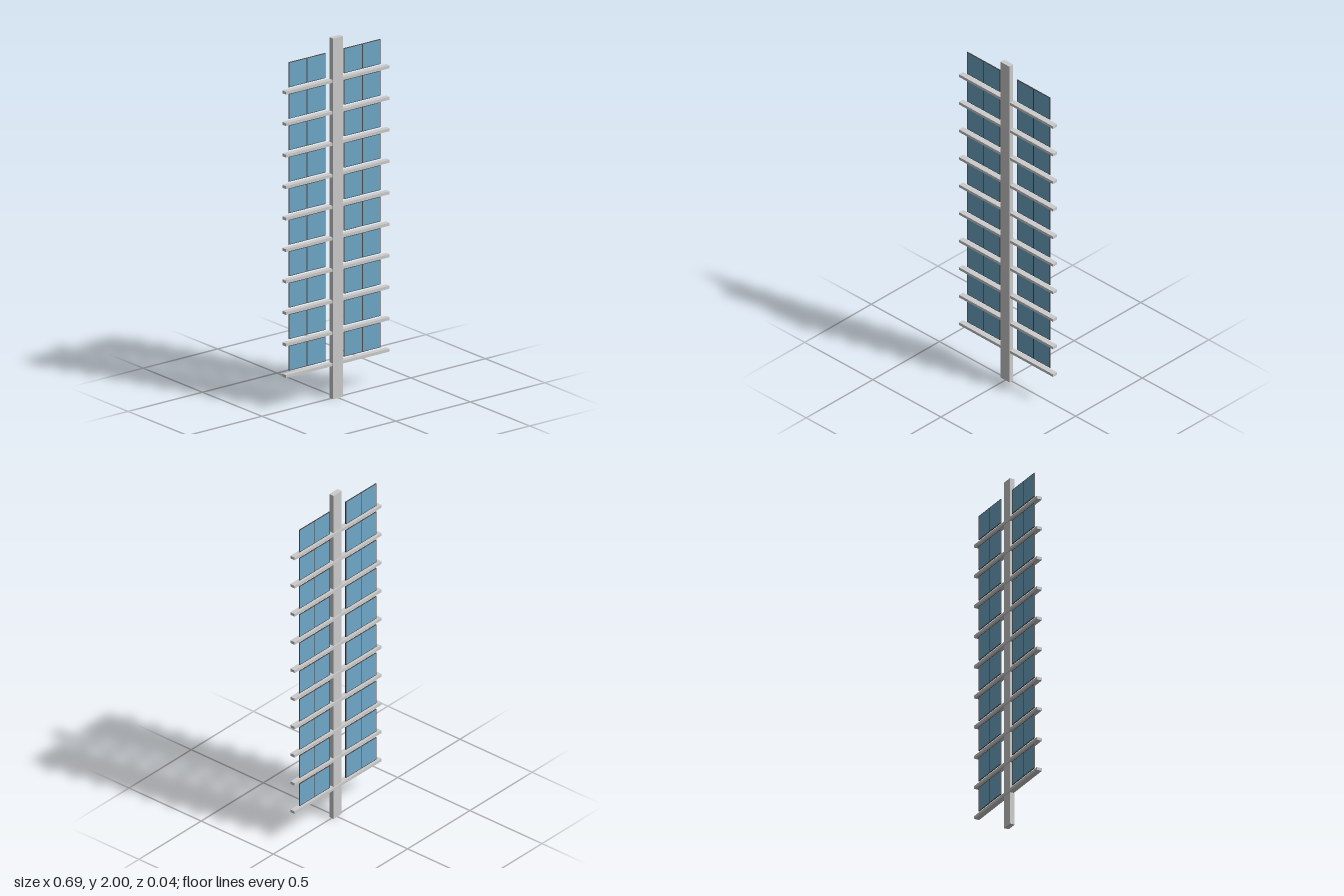
import * as THREE from 'three';

export function createModel() {
  const grey = new THREE.MeshStandardMaterial({ color: 0xcccccc });
  const dark = new THREE.MeshStandardMaterial({ color: 0x4a4644 });
  const blue = new THREE.MeshStandardMaterial({ color: 0x6fa8c8 });

  const model = new THREE.Group();
  model.name = 'glazedMullion';

  const box = (parent, name, material, w, h, d, x, y, z) => {
    const mesh = new THREE.Mesh(new THREE.BoxGeometry(w, h, d), material);
    mesh.name = name;
    mesh.position.set(x, y, z);
    parent.add(mesh);
  };

  // Upright post, standing slightly forward of the crossbars
  box(model, 'post', grey, 0.066, 2, 0.029, -0.003, 1, 0.0025);

  // Framed window: thin dark border, centre bar and two glass panes
  const W = 0.244, H = 0.138, D = 0.005, BORDER = 0.003, BAR = 0.005;
  const paneW = (W - 2 * BORDER - BAR) / 2;
  const makeWindow = () => {
    const win = new THREE.Group();
    for (const s of [-1, 1]) {
      box(win, 'frameSide', dark, BORDER, H, D, s * (W - BORDER) / 2, 0, 0);
      box(win, 'frameRail', dark, W - 2 * BORDER, BORDER, D, 0, s * (H - BORDER) / 2, 0);
      box(win, 'glassPane', blue, paneW, H - 2 * BORDER, D - 0.001, s * (paneW + BAR) / 2, 0, 0);
    }
    box(win, 'frameBar', dark, BAR, H - 2 * BORDER, D, 0, 0, 0);
    return win;
  };

  // Ten levels, each a crossbar with a window above it on both sides
  const arms = new THREE.Group();
  arms.name = 'levels';
  for (let i = 0; i < 10; i++) {
    const y = 0.19 + i * 0.1746;
    box(arms, 'crossbar', grey, 0.694, 0.016, 0.03, 0, y, -0.0035);
    for (const s of [-1, 1]) {
      const win = makeWindow();
      win.name = s < 0 ? 'rightWindow' : 'leftWindow';
      win.position.set(s * 0.185 - 0.003, y + 0.088, -0.0125);
      arms.add(win);
    }
  }
  arms.rotation.y = -0.006; // the arms sit very slightly askew
  model.add(arms);
  return model;
}
